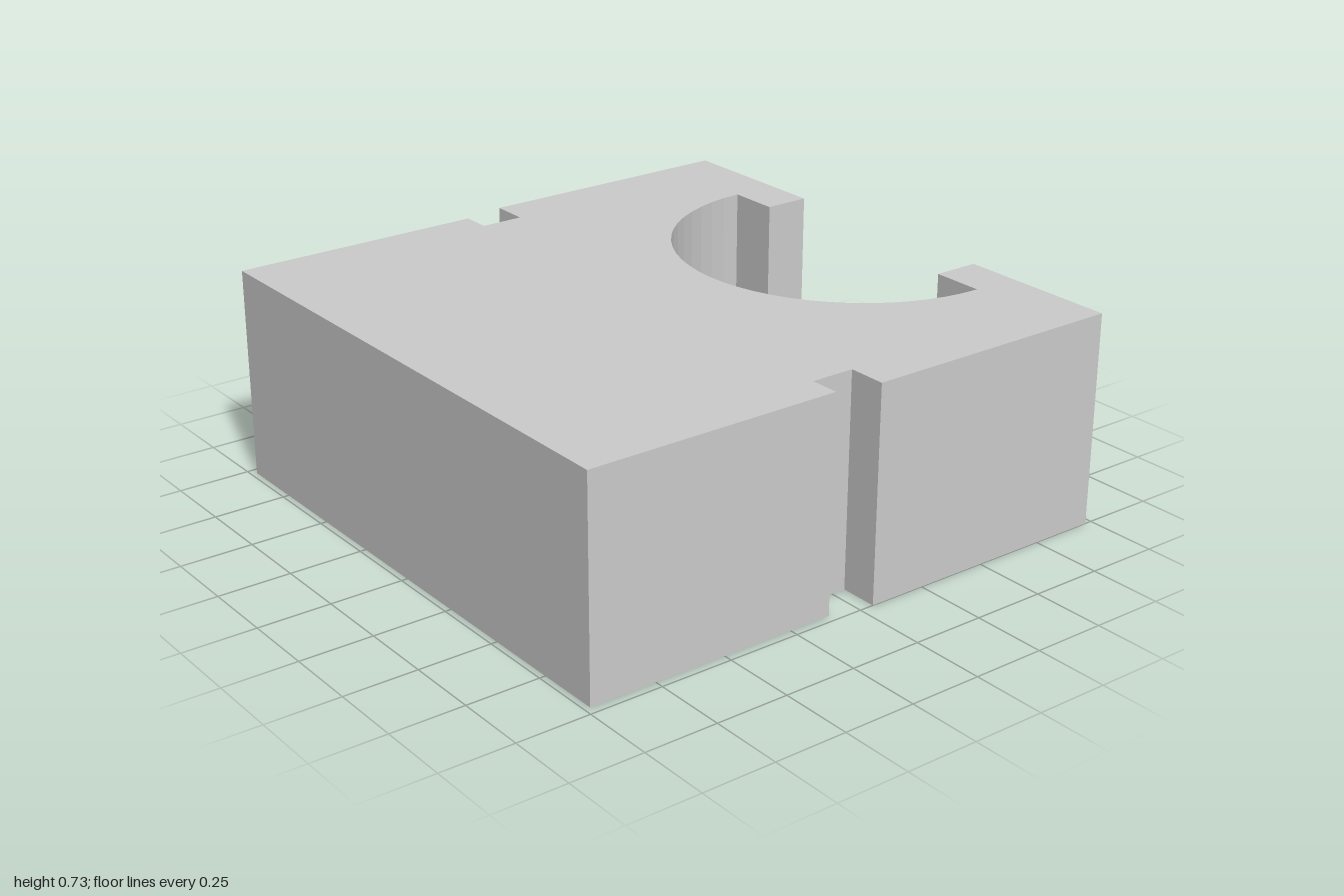
import * as THREE from 'three';

const HEIGHT = 0.73;
const BORE = { x: 0.815, radius: 0.61 };

export function createModel() {
  const group = new THREE.Group();
  group.name = 'slottedBlock';

  // Half of the plan outline: stepped side with its notch, then the hooked lip of the open bore
  const half = [
    [-0.98, 0.97], [-0.10, 0.97], [-0.10, 0.87], [0.05, 0.87],
    [0.05, 1], [0.975, 1], [0.975, 0.43], [BORE.x, 0.43],
  ];

  const outline = new THREE.Shape();
  half.forEach(([x, z], i) => (i ? outline.lineTo(x, -z) : outline.moveTo(x, -z)));
  // Half-round bore, swept through the block's interior
  outline.lineTo(BORE.x, -BORE.radius);
  outline.absarc(BORE.x, 0, BORE.radius, -Math.PI / 2, Math.PI / 2, true);
  // Mirrored half
  [...half].reverse().forEach(([x, z]) => outline.lineTo(x, z));
  outline.closePath();

  // Extrude the plan upward from the ground
  const geometry = new THREE.ExtrudeGeometry(outline, {
    depth: HEIGHT, bevelEnabled: false, curveSegments: 15,
  });
  geometry.rotateX(-Math.PI / 2);

  const block = new THREE.Mesh(
    geometry,
    new THREE.MeshStandardMaterial({ color: 0xcccccc, flatShading: true }),
  );
  block.name = 'block';
  group.add(block);
  return group;
}
